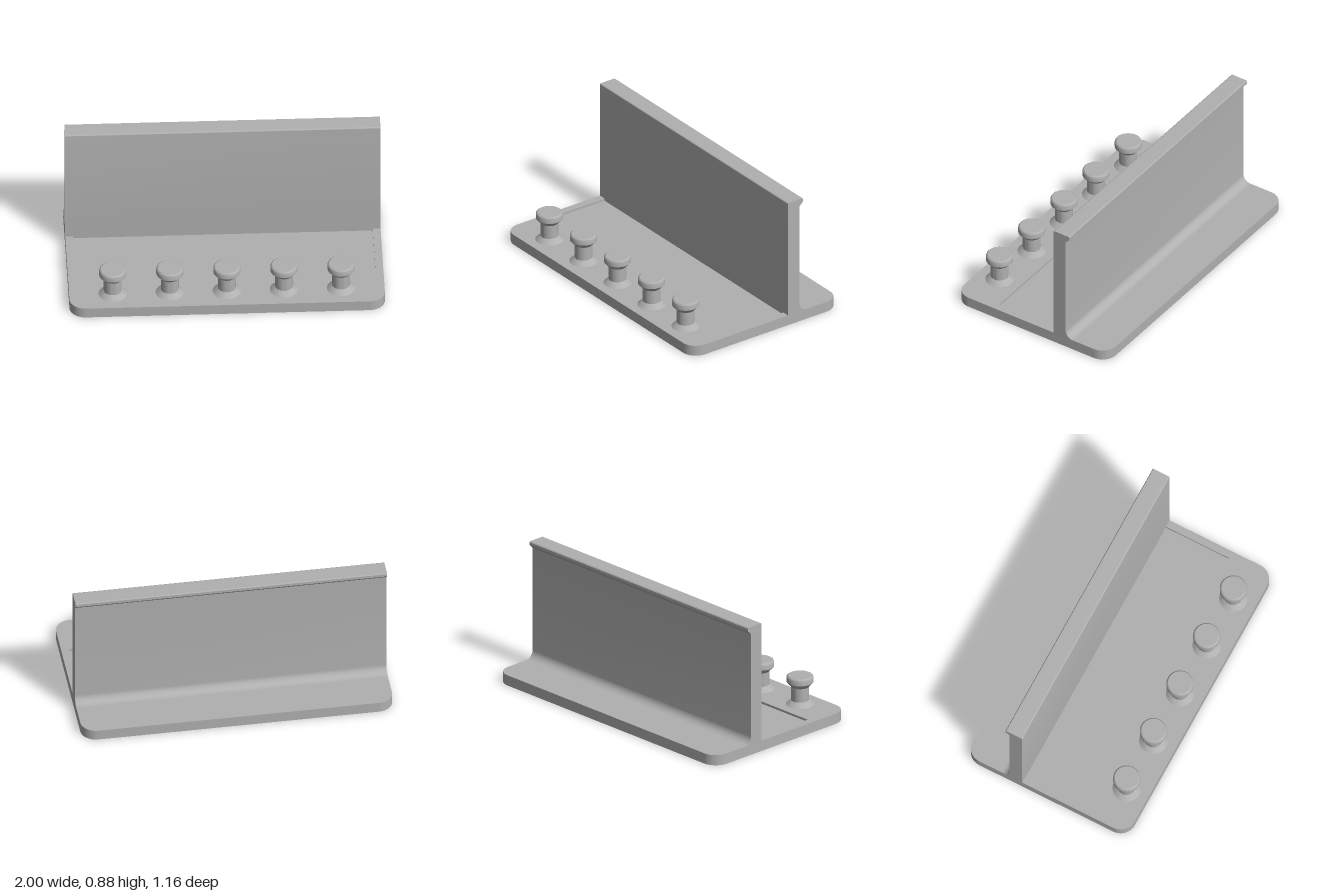
import * as THREE from 'three';
import { toCreasedNormals } from 'three/addons/utils/BufferGeometryUtils.js';

const BASE_TOP = 0.07, RECESS_FLOOR = 0.055, POCKET_ROOF = 0.045;
const WALL_FRONT = -0.173, WALL_BACK = -0.265;

const grey = new THREE.MeshStandardMaterial({ color: 0xb0b0b0, side: THREE.DoubleSide });
grey.name = 'grey plastic';

function add(group, name, geometry) {
  const mesh = new THREE.Mesh(geometry, grey);
  mesh.name = name;
  group.add(mesh);
  return mesh;
}

// Flat face at height y; a face looking up takes its shape in (x, -z), one looking down in (x, z)
function face(shape, y, up) {
  return new THREE.ShapeGeometry(shape, 12).rotateX(up ? -Math.PI / 2 : Math.PI / 2).translate(0, y, 0);
}

// Upright band following a closed outline
function band(shape, y0, y1, up) {
  const pts = shape.getPoints(12);
  if (!pts[0].equals(pts[pts.length - 1])) pts.push(pts[0].clone());
  const pos = [], idx = [];
  pts.forEach((p, i) => {
    const z = up ? -p.y : p.y;
    pos.push(p.x, y0, z, p.x, y1, z);
    const a = 2 * i;
    if (i < pts.length - 1) idx.push(a, a + 2, a + 3, a, a + 3, a + 1);
  });
  const g = new THREE.BufferGeometry();
  g.setAttribute('position', new THREE.Float32BufferAttribute(pos, 3));
  g.setIndex(idx);
  return toCreasedNormals(g, 0.6);
}

function roundedOutline(w, d, r) {
  const s = new THREE.Shape();
  s.absarc(w - r, d - r, r, 0, Math.PI / 2);
  s.absarc(r - w, d - r, r, Math.PI / 2, Math.PI);
  s.absarc(r - w, r - d, r, Math.PI, Math.PI * 1.5);
  s.absarc(w - r, r - d, r, Math.PI * 1.5, Math.PI * 2);
  s.closePath();
  return s;
}

// Round hole with a narrow slot running towards the back
function keyhole(x) {
  const z = -0.43, r = 0.05, h = 0.02, tip = -0.53, a = Math.asin(h / r);
  const s = new THREE.Shape();
  s.absarc(x, z, r, -Math.PI / 2 + a, Math.PI * 1.5 - a);
  s.absarc(x, tip + h, h, Math.PI, Math.PI * 2);
  s.closePath();
  return s;
}

function createBase() {
  const base = new THREE.Group();
  base.name = 'base';
  const top = roundedOutline(1, 0.58, 0.1);
  const bottom = roundedOutline(1, 0.58, 0.1);

  // Shallow tray in front of the wall
  const tray = new THREE.Shape([[-0.95, -0.28], [0.95, -0.28], [0.95, -WALL_FRONT], [-0.95, -WALL_FRONT]]
    .map(([x, y]) => new THREE.Vector2(x, y)));
  top.holes.push(tray);
  add(base, 'trayFloor', face(tray, RECESS_FLOOR, true));
  add(base, 'trayRim', band(tray, RECESS_FLOOR, BASE_TOP, true));

  // Mounting pockets underneath
  for (const x of [-0.65, 0.65]) {
    const hole = keyhole(x);
    bottom.holes.push(hole);
    add(base, 'keyholeRoof', face(hole, POCKET_ROOF, false));
    add(base, 'keyholeSides', band(hole, 0, POCKET_ROOF, false));
  }
  add(base, 'baseTop', face(top, BASE_TOP, true));
  add(base, 'baseBottom', face(bottom, 0, false));
  add(base, 'baseEdge', band(roundedOutline(1, 0.58, 0.1), 0, BASE_TOP, true));
  return base;
}

// Upright wall: side profile in (-z, y), with a fillet at the foot and a lip behind the top
function wallGeometry() {
  const f = -WALL_FRONT, b = -WALL_BACK, r = 0.055;
  const s = new THREE.Shape();
  s.moveTo(f, BASE_TOP);
  s.lineTo(b + r, BASE_TOP);
  s.absarc(b + r, BASE_TOP + r, r, -Math.PI / 2, -Math.PI, true);
  s.lineTo(b, 0.825);
  s.lineTo(0.293, 0.852);
  s.lineTo(0.293, 0.87);
  s.lineTo(0.288, 0.876);
  s.lineTo(f + 0.008, 0.876);
  s.quadraticCurveTo(f, 0.876, f, 0.868);
  s.closePath();
  const g = new THREE.ExtrudeGeometry(s, { depth: 2, bevelEnabled: false, curveSegments: 10 });
  return toCreasedNormals(g.rotateY(Math.PI / 2).translate(-1, 0, 0), 0.6);
}

// Peg with a flared foot and a mushroom head
function pegGeometry() {
  const profile = [[0.09, 0.07], [0.057, 0.1], [0.057, 0.192], [0.086, 0.223], [0.086, 0.255],
    [0.083, 0.262], [0.076, 0.267], [0, 0.267]].map(([x, y]) => new THREE.Vector2(x, y));
  return toCreasedNormals(new THREE.LatheGeometry(profile, 40), 0.6);
}

export function createModel() {
  const model = new THREE.Group();
  model.name = 'pegRack';
  model.add(createBase());
  add(model, 'wall', wallGeometry());
  const peg = pegGeometry();
  for (let i = -2; i <= 2; i++) add(model, 'peg', peg).position.set(i * 0.362, 0, 0.43);
  return model;
}
